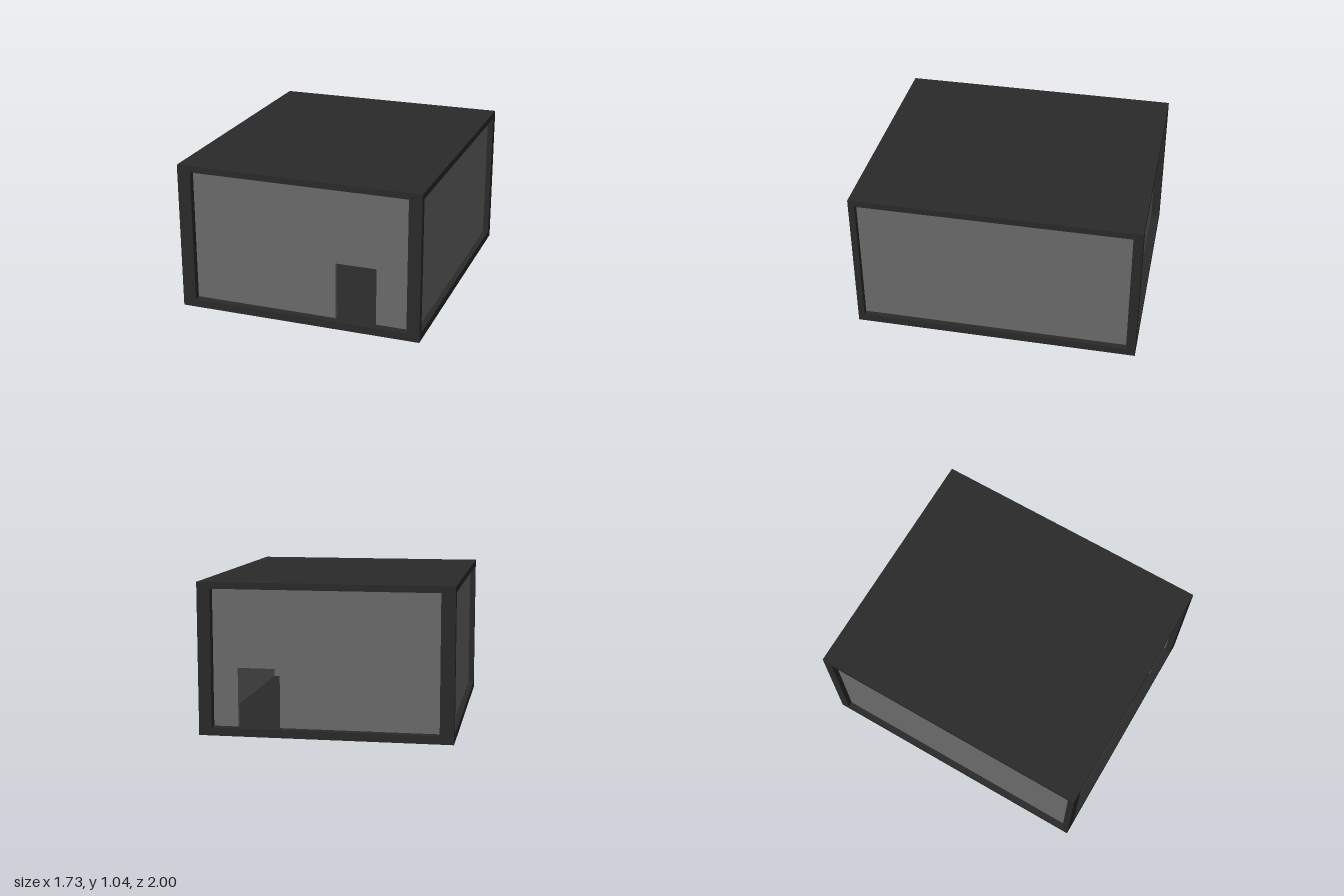
import * as THREE from 'three';

const W = 0.865, D = 1, H = 1.045;      // half width, half depth, height
const FLOOR = 0.055, CEIL = 1.0;        // inner faces of the floor and roof slabs
const Z_FRONT = 0.945, Z_BACK = -0.94;  // outer faces of the end walls
const X_SIDE = 0.825, T = 0.035;        // outer face of side walls, wall thickness
const DOOR_TOP = 0.46;

export function createModel() {
  const group = new THREE.Group();
  const dark = new THREE.MeshStandardMaterial({ color: 0x2a2a2a });
  const grey = new THREE.MeshStandardMaterial({ color: 0x6b6b6b });

  const add = (name, geometry, material) => {
    const mesh = new THREE.Mesh(geometry, material);
    mesh.name = name;
    group.add(mesh);
    return mesh;
  };

  // Box given by its minimum and maximum corners
  const box = (name, material, x0, x1, y0, y1, z0, z1) => {
    const mesh = add(name, new THREE.BoxGeometry(x1 - x0, y1 - y0, z1 - z0), material);
    mesh.position.set((x0 + x1) / 2, (y0 + y1) / 2, (z0 + z1) / 2);
  };

  // Roof slab with a ceiling lining
  box('roof', dark, -W, W, CEIL, H, -D, D);
  box('ceiling', grey, -X_SIDE + T, X_SIDE - T, CEIL - 0.005, CEIL + 0.01, Z_BACK + T, Z_FRONT - T);

  // Floor slab, edge beams around it and the underside panel between them
  const b = 0.05;
  box('floor', dark, -W + b, W - b, 0.03, FLOOR, -D + b, D - b);
  box('floorUnderside', grey, -W + b, W - b, 0.005, 0.03, -D + b, D - b);
  for (const s of [-1, 1]) {
    const side = s < 0 ? [-W, -W + b] : [W - b, W];
    const end = s < 0 ? [-D, -D + b] : [D - b, D];
    box('sideSill', dark, ...side, 0, FLOOR, -D, D);
    box('endSill', dark, -W + b, W - b, 0, FLOOR, ...end);
  }

  // Corner posts
  for (const [x0, x1] of [[-W, -0.77], [0.775, W]]) {
    box('frontPost', dark, x0, x1, FLOOR, CEIL, 0.955, D);
    box('backPost', dark, x0, x1, FLOOR, CEIL, -D, -0.935);
  }

  // Plain side walls
  box('leftWall', grey, X_SIDE - T, X_SIDE, FLOOR, CEIL, -0.955, 0.965);
  box('rightWall', grey, -X_SIDE, -X_SIDE + T, FLOOR, CEIL, -0.955, 0.965);

  // End walls, each cut by a doorway that reaches the floor
  const endWall = (name, d0, d1, z) => {
    const x = X_SIDE - T;
    const outline = [
      [-x, FLOOR], [d0, FLOOR], [d0, DOOR_TOP], [d1, DOOR_TOP],
      [d1, FLOOR], [x, FLOOR], [x, CEIL], [-x, CEIL],
    ].map(([px, py]) => new THREE.Vector2(px, py));
    const geometry = new THREE.ExtrudeGeometry(new THREE.Shape(outline), { depth: T, bevelEnabled: false });
    add(name, geometry, grey).position.z = z;
  };
  endWall('frontWall', 0.255, 0.545, Z_FRONT - T);
  endWall('backWall', 0.315, 0.605, Z_BACK);

  return group;
}
